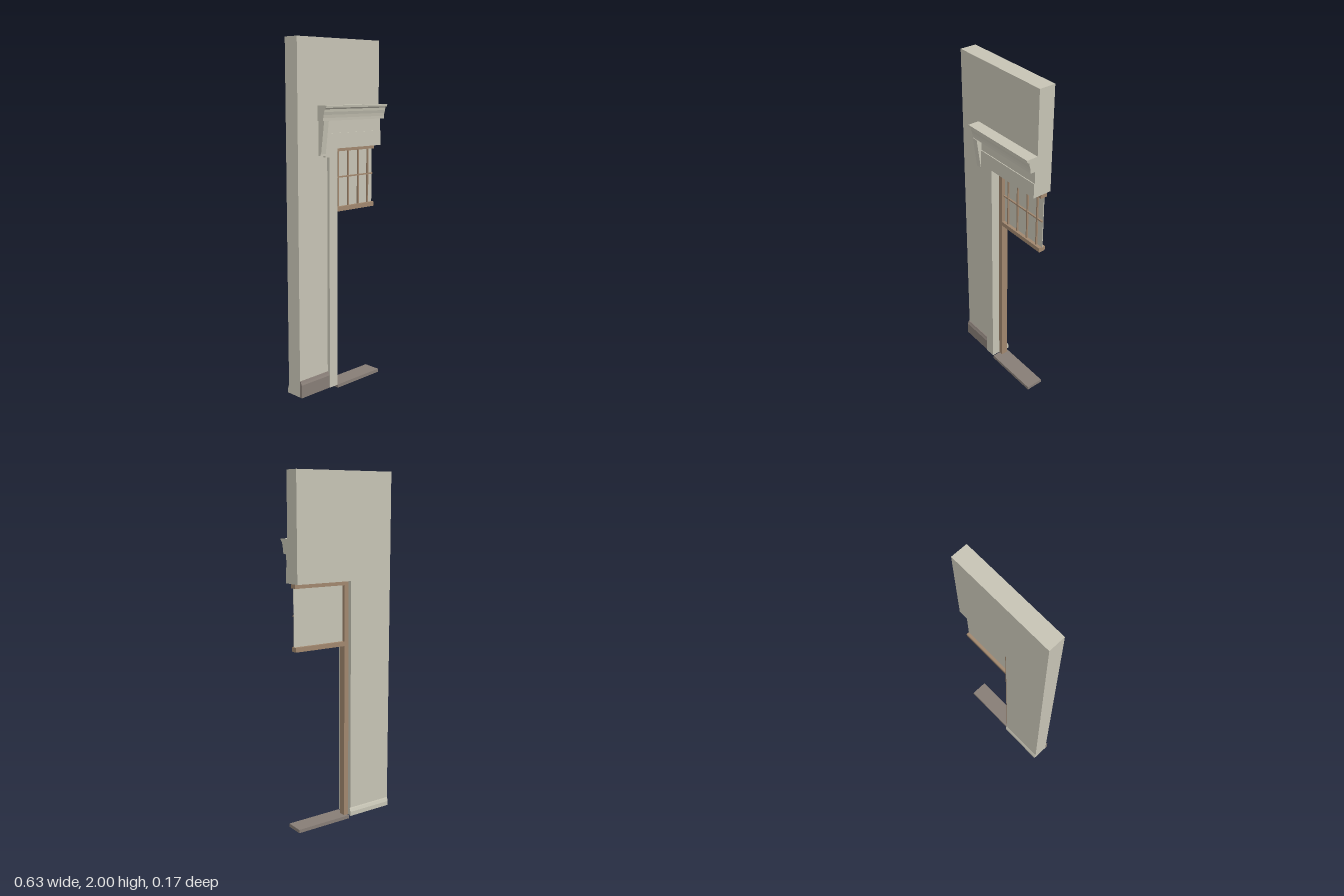
import * as THREE from 'three';

const material = (name, color) => {
  const m = new THREE.MeshStandardMaterial({ color });
  m.name = name;
  return m;
};

export function createModel() {
  const plaster = material('plaster', 0xc6c3b4);
  const wood = material('wood', 0xa0876e);
  const stone = material('stone', 0x877d76);
  const group = new THREE.Group();
  group.name = 'doorwayWall';

  const add = (name, geometry, mat) => {
    const mesh = new THREE.Mesh(geometry, mat);
    mesh.name = name;
    group.add(mesh);
    return mesh;
  };
  // Box given by its limits on each axis
  const box = (name, mat, x0, x1, y0, y1, z0, z1) => {
    const g = new THREE.BoxGeometry(x1 - x0, y1 - y0, z1 - z0);
    g.translate((x0 + x1) / 2, (y0 + y1) / 2, (z0 + z1) / 2);
    return add(name, g, mat);
  };
  const shape = (pts) => new THREE.Shape(pts.map(([a, b]) => new THREE.Vector2(a, b)));
  // Front outline (x, y) extruded between two depths
  const slab = (name, mat, pts, z0, z1) => {
    const g = new THREE.ExtrudeGeometry(shape(pts), { depth: z1 - z0, bevelEnabled: false });
    g.translate(0, 0, z0);
    return add(name, g, mat);
  };
  // Side profile (z, y) run along x
  const moulding = (name, mat, pts, x0, x1) => {
    const g = new THREE.ExtrudeGeometry(shape(pts.map(([z, y]) => [-z, y])), { depth: x1 - x0, bevelEnabled: false });
    g.rotateY(Math.PI / 2);
    g.translate(x0, 0, 0);
    return add(name, g, mat);
  };

  const L = -0.315, R = 0.315, FRONT = 0.018, BACK = -0.077;
  const JAMB = -0.037, HEAD = 1.405, FLOOR = 0.02;

  // Wall with the half doorway cut out
  slab('wall', plaster, [[L, FLOOR], [JAMB, FLOOR], [JAMB, HEAD], [R, HEAD], [R, 2], [L, 2]], BACK, FRONT);

  // Door casing with an ear at the upper corner, and the frieze above
  slab('casing', plaster, [
    [-0.1, FLOOR], [JAMB, FLOOR], [JAMB, HEAD], [R, HEAD], [R, 1.49],
    [-0.13, 1.49], [-0.13, 1.36], [-0.1, 1.36],
  ], FRONT, 0.036);
  box('frieze', plaster, -0.13, R, 1.49, 1.565, FRONT, 0.031);

  // Cornice
  moulding('cornice', plaster, [
    [FRONT, 1.56], [0.06, 1.56], [0.061, 1.575], [0.064, 1.592], [0.069, 1.608],
    [0.071, 1.622], [0.084, 1.63], [0.086, 1.642], [FRONT, 1.642],
  ], -0.17, R);

  // Tapered bracket and its foot
  moulding('bracket', plaster, [
    [FRONT, 1.38], [0.038, 1.38], [0.063, 1.56], [FRONT, 1.56],
  ], -0.165, -0.13);
  box('bracketFoot', plaster, -0.165, -0.125, 1.37, 1.38, FRONT, 0.034);

  // Skirting on both faces of the wall
  moulding('frontBaseboard', stone, [
    [FRONT, FLOOR], [0.033, FLOOR], [0.033, 0.095], [0.028, 0.105], [0.024, 0.116], [FRONT, 0.116],
  ], L, -0.1);
  moulding('backBaseboard', plaster, [
    [BACK, FLOOR], [BACK, 0.068], [-0.08, 0.062], [-0.086, 0.045], [-0.086, FLOOR],
  ], L, -0.032);

  // Threshold
  box('threshold', stone, -0.033, R, 0, FLOOR, -0.07, 0.035);

  // Wooden frame
  box('frameJamb', wood, JAMB, -0.008, FLOOR, HEAD, -0.055, -0.015);
  box('frameHead', wood, -0.008, R, 1.382, HEAD, -0.055, -0.015);
  box('transomRail', wood, -0.008, R, 1.038, 1.064, -0.055, -0.015);

  // Transom pane with glazing bars on its front
  box('transomPane', plaster, -0.008, R, 1.064, 1.382, -0.038, -0.034);
  for (const x of [0.03, 0.111, 0.193, 0.273]) {
    box('verticalBar', wood, x - 0.004, x + 0.004, 1.064, 1.382, -0.034, -0.024);
  }
  box('horizontalBar', wood, -0.008, R, 1.23, 1.238, -0.034, -0.025);

  return group;
}
